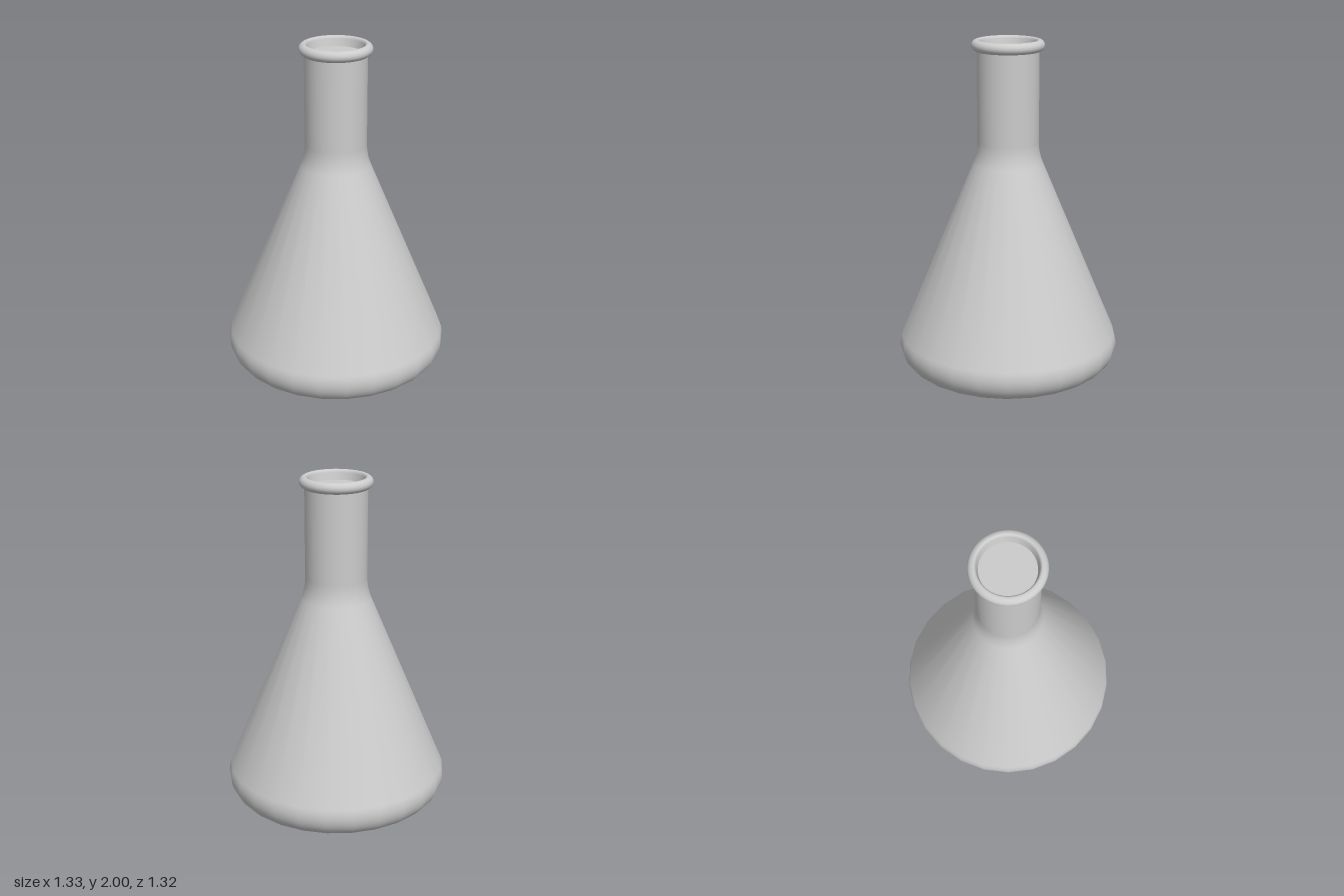
import * as THREE from 'three';

export function createModel() {
  const group = new THREE.Group();
  const material = new THREE.MeshStandardMaterial({ color: 0xcccccc, side: THREE.DoubleSide });

  const add = (name, geometry) => {
    const mesh = new THREE.Mesh(geometry, material);
    mesh.name = name;
    group.add(mesh);
    return mesh;
  };
  // Revolve a profile drawn from bottom to top, with a corner on the x axis
  const turn = (points, sides) => new THREE.LatheGeometry(points, sides, Math.PI / 2);

  // Flask body: flat base, rounded heel, straight cone, soft shoulder and neck
  const outline = new THREE.Path();
  outline.moveTo(0, 0);
  outline.lineTo(0.5, 0);
  outline.absarc(0.515, 0.15, 0.15, -Math.PI / 2, 0.4, false);
  outline.lineTo(0.208, 1.27);
  outline.quadraticCurveTo(0.183, 1.33, 0.183, 1.4);
  outline.lineTo(0.183, 1.95);
  add('flaskBody', turn(outline.getPoints(8), 26));

  // Rolled lip around the mouth
  const lip = new THREE.Path();
  lip.moveTo(0.18, 1.935);
  lip.lineTo(0.192, 1.935);
  lip.absarc(0.181, 1.967, 0.032, -Math.PI / 3, Math.PI / 2, false);
  lip.quadraticCurveTo(0.168, 1.998, 0.165, 1.975);
  lip.lineTo(0.157, 1.94);
  add('lip', turn(lip.getPoints(8), 48));

  // Flat surface closing the mouth just below the lip
  const mouth = add('mouthSurface', new THREE.CircleGeometry(0.159, 48));
  mouth.rotation.x = -Math.PI / 2;
  mouth.position.y = 1.94;

  return group;
}
